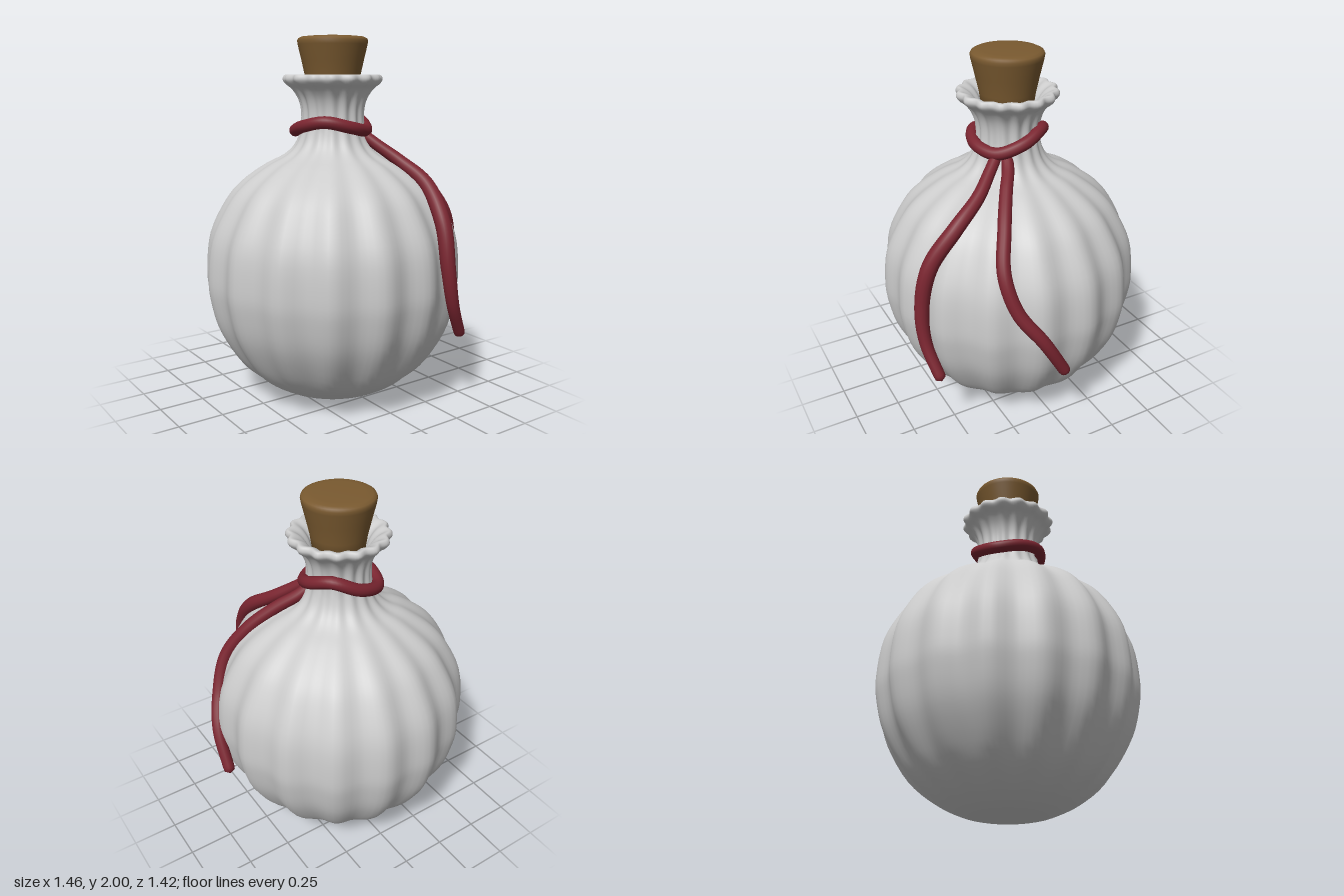
import * as THREE from 'three';
import { mergeVertices } from 'three/addons/utils/BufferGeometryUtils.js';

const V2 = (p) => new THREE.Vector2(p[0], p[1]);
const V3 = (p) => new THREE.Vector3(p[0], p[1], p[2]);
const AXIS_X = -0.03; // the bottle stands slightly off centre, balanced by the cord

// Weld seams so the shading runs smoothly all the way round
function weld(geometry) {
  geometry.deleteAttribute('normal');
  geometry.deleteAttribute('uv');
  const g = mergeVertices(geometry, 1e-5);
  g.computeVertexNormals();
  return g;
}

// Lathed body with sixteen flutes that fade out at the base
function flutedBody() {
  const outer = [
    [0.2, 0.005], [0.27, 0.025], [0.39, 0.085], [0.52, 0.2], [0.64, 0.4], [0.69, 0.58], [0.7, 0.72],
    [0.675, 0.92], [0.59, 1.1], [0.5, 1.21], [0.37, 1.305], [0.265, 1.36], [0.205, 1.42], [0.175, 1.5],
    [0.168, 1.59], [0.182, 1.66], [0.215, 1.715], [0.25, 1.745], [0.265, 1.77], [0.255, 1.793],
    [0.23, 1.79], [0.195, 1.765], [0.165, 1.72], [0.145, 1.66],
  ];
  const curve = new THREE.SplineCurve(outer.map(V2));
  const profile = [V2([0, 0]), V2([0.17, 0]), ...curve.getPoints(92), V2([0, 1.65])];
  const g = new THREE.LatheGeometry(profile, 128);
  const p = g.attributes.position;
  const phase = THREE.MathUtils.degToRad(160);
  for (let i = 0; i < p.count; i++) {
    const x = p.getX(i), y = p.getY(i), z = p.getZ(i);
    const depth = (y > 1.5 ? 0.036 : 0.026) * THREE.MathUtils.smoothstep(y, 0.01, 0.25);
    const s = 1 + depth * Math.cos(16 * Math.atan2(z, x) + phase);
    p.setXYZ(i, x * s, y, z * s);
  }
  return weld(g);
}

// Round cord along a path, its radius set by a function of t, with domed ends
function cord(points, radiusAt) {
  const curve = new THREE.CatmullRomCurve3(points.map(V3));
  const length = curve.getLength(), segments = 72, sides = 14;
  const g = new THREE.TubeGeometry(curve, segments, 1, sides, false);
  const p = g.attributes.position;
  const c = new THREE.Vector3(), v = new THREE.Vector3();
  for (let i = 0; i <= segments; i++) {
    const t = i / segments, r = radiusAt(t);
    const d = Math.min(1, (Math.min(t, 1 - t) * length) / r);
    const size = r * Math.sqrt(1 - (1 - d) ** 2);
    curve.getPointAt(t, c);
    for (let j = 0; j <= sides; j++) {
      const k = i * (sides + 1) + j;
      v.fromBufferAttribute(p, k).sub(c).multiplyScalar(size).add(c);
      p.setXYZ(k, v.x, v.y, v.z);
    }
  }
  return weld(g);
}

// Closed loop round the neck, rising and dipping like a saddle
function neckLoop() {
  const heights = [1.545, 1.495, 1.515, 1.545, 1.52, 1.49, 1.53, 1.59];
  const points = heights.map((y, i) => {
    const a = (i * Math.PI) / 4;
    const r = i === 5 ? 0.205 : 0.19;
    return V3([AXIS_X - 0.005 + r * Math.cos(a), y, r * Math.sin(a)]);
  });
  const curve = new THREE.CatmullRomCurve3(points, true);
  return weld(new THREE.TubeGeometry(curve, 80, 0.034, 14, true));
}

export function createModel() {
  const group = new THREE.Group();
  const clay = new THREE.MeshStandardMaterial({ color: 0xcccccc });
  const corkColor = new THREE.MeshStandardMaterial({ color: 0x7a5a30 });
  const red = new THREE.MeshStandardMaterial({ color: 0x7a2530 });

  function add(name, geometry, material, x = 0) {
    const mesh = new THREE.Mesh(geometry, material);
    mesh.name = name;
    mesh.position.x = x;
    group.add(mesh);
  }

  add('bottleBody', flutedBody(), clay, AXIS_X);

  // Tapered stopper with a softened top edge
  const corkProfile = [
    [0, 1.655], [0.132, 1.655], [0.15, 1.78], [0.17, 1.87], [0.19, 1.955],
    [0.193, 1.975], [0.187, 1.988], [0.17, 1.996], [0.13, 2], [0, 2],
  ];
  add('corkStopper', weld(new THREE.LatheGeometry(corkProfile.map(V2), 48)), corkColor, AXIS_X);

  add('neckCord', neckLoop(), red);

  // Two loose cord ends trailing over the shoulder
  add('frontCordEnd', cord([
    [0.07, 1.49, 0.11], [0.13, 1.42, 0.19], [0.21, 1.33, 0.3], [0.265, 1.22, 0.45], [0.255, 1.03, 0.6],
    [0.25, 0.8, 0.655], [0.285, 0.6, 0.66], [0.385, 0.395, 0.62],
  ], (t) => 0.031 + 0.013 * Math.sin(Math.PI * t) ** 2), red);
  add('sideCordEnd', cord([
    [0.08, 1.49, 0.07], [0.16, 1.425, 0.1], [0.26, 1.35, 0.165], [0.4, 1.22, 0.25], [0.52, 1.04, 0.315],
    [0.6, 0.85, 0.28], [0.675, 0.68, 0.17], [0.69, 0.445, 0.035],
  ], (t) => 0.032 + 0.005 * Math.sin(Math.PI * t)), red);

  return group;
}
